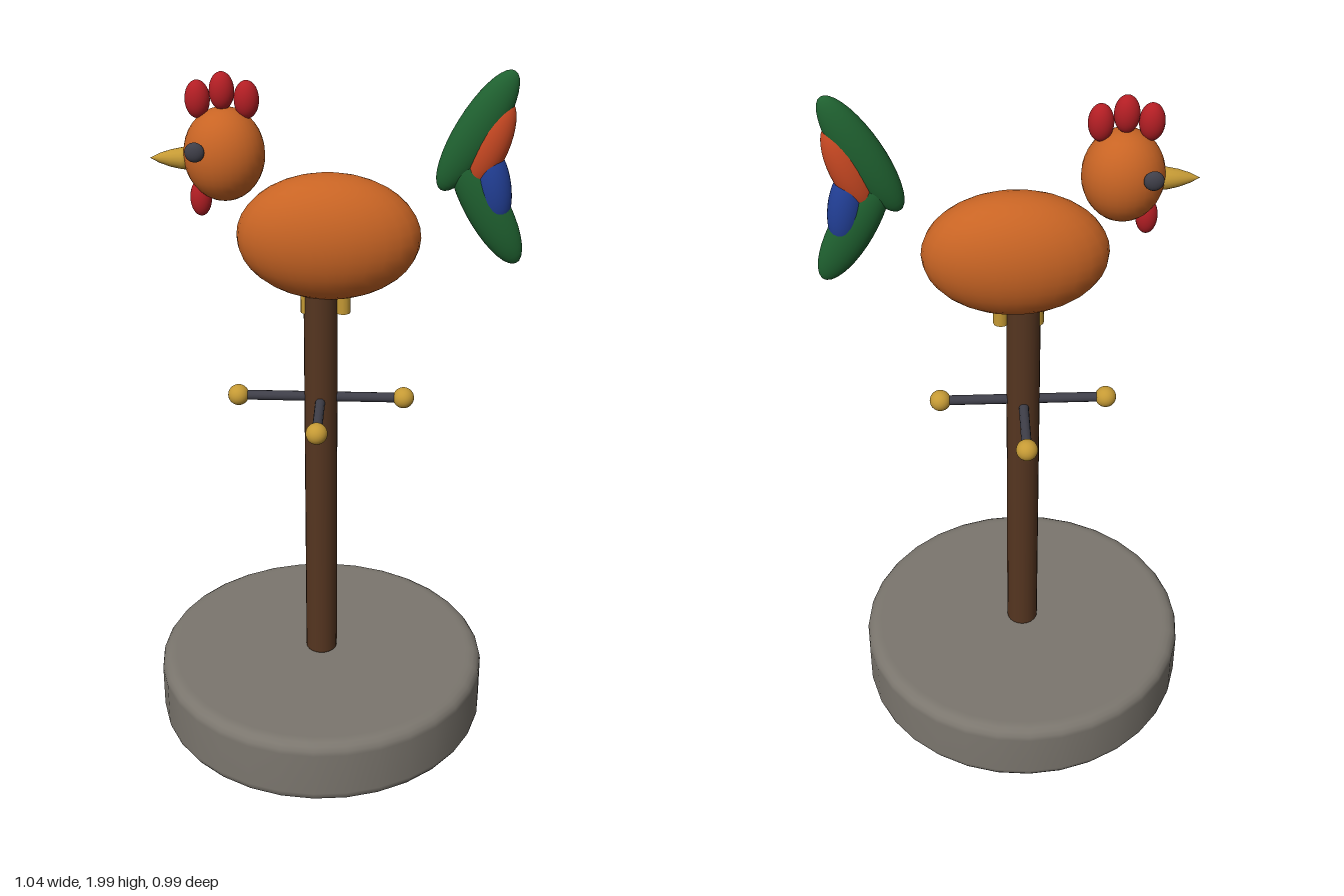
import * as THREE from 'three';

const mat = (name, color) => {
  const m = new THREE.MeshStandardMaterial({ color });
  m.name = name;
  return m;
};

export function createModel() {
  const root = new THREE.Group();
  root.name = 'roosterWeathervane';
  const stone = mat('stone', 0x7b766e);
  const wood = mat('wood', 0x553520);
  const iron = mat('iron', 0x3f3f49);
  const gold = mat('gold', 0xc59a35);
  const orange = mat('orange', 0xc86424);
  const red = mat('red', 0xb31e24);
  const green = mat('green', 0x1f6130);
  const rust = mat('rust', 0xc84822);
  const blue = mat('blue', 0x223f96);
  const axisX = -0.025; // centre line of the stand

  function add(name, geometry, material, x, y, z, parent = root) {
    const mesh = new THREE.Mesh(geometry, material);
    mesh.name = name;
    mesh.position.set(x, y, z);
    parent.add(mesh);
    return mesh;
  }
  function ellipsoid(name, material, [x, y, z], [rx, ry, rz], tilt = 0, parent = root) {
    const g = new THREE.SphereGeometry(1, 28, 18).scale(rx, ry, rz).rotateZ(tilt);
    return add(name, g, material, x, y, z, parent);
  }
  // Upright cylinder with rounded rims
  function roundedDrum(r, h, bevel, sides) {
    const pts = [new THREE.Vector2(0, 0), new THREE.Vector2(r - bevel * 1.3, 0)];
    for (const end of [0, 1]) {
      for (let i = 0; i <= 4; i++) {
        const a = (i / 4 + end - 1) * Math.PI / 2;
        pts.push(new THREE.Vector2(r - bevel + bevel * Math.cos(a),
          (end ? h - bevel : bevel) + bevel * Math.sin(a)));
      }
    }
    pts.push(new THREE.Vector2(r - bevel * 1.3, h), new THREE.Vector2(0, h));
    return new THREE.LatheGeometry(pts, sides);
  }

  // Stand
  add('base', roundedDrum(0.493, 0.205, 0.035, 32), stone, axisX, 0.005, 0);
  add('post', roundedDrum(0.047, 1.19, 0.012, 20), wood, axisX, 0.205, 0);

  // Four direction arms with round ends
  const arms = new THREE.Group();
  arms.name = 'directionArms';
  arms.position.set(axisX, 1.067, 0);
  root.add(arms);
  for (let i = 0; i < 4; i++) {
    const arm = new THREE.Group();
    arm.name = 'directionArm';
    arm.rotation.y = i * Math.PI / 2;
    arms.add(arm);
    add('rod', new THREE.CylinderGeometry(0.014, 0.014, 0.235, 12).rotateZ(Math.PI / 2), iron, 0.1175, 0, 0, arm);
    ellipsoid('knob', gold, [0.235, 0, 0], [0.03, 0.03, 0.03], 0, arm);
  }

  // Legs tucked against the post
  for (const x of [-0.06, 0.037]) {
    add('leg', new THREE.CylinderGeometry(0.021, 0.021, 0.12, 12), gold, x, 1.386, 0);
  }

  // Body and head
  ellipsoid('body', orange, [-0.003, 1.545, 0], [0.25, 0.175, 0.13]);
  ellipsoid('head', orange, [-0.278, 1.77, 0], [0.108, 0.125, 0.1]);
  const beakProfile = [[0, 0], [0.03, 0], [0.029, 0.03], [0.023, 0.06], [0.013, 0.09], [0, 0.116]]
    .map(([r, y]) => new THREE.Vector2(r, y));
  add('beak', new THREE.LatheGeometry(beakProfile, 16).rotateZ(Math.PI / 2), gold, -0.36, 1.757, 0);
  for (const side of [-1, 1]) {
    ellipsoid('eye', iron, [-0.344, 1.8, side * 0.096], [0.026, 0.026, 0.015]);
  }
  for (const i of [-1, 0, 1]) {
    ellipsoid('comb', red, [-0.28 + i * 0.064, 1.937 - Math.abs(i) * 0.022, 0], [0.033, 0.05, 0.03]);
  }
  ellipsoid('wattle', red, [-0.344, 1.65, 0], [0.029, 0.05, 0.026]);

  // Fanned tail feathers
  ellipsoid('upperTailFeather', green, [0.384, 1.838, 0], [0.058, 0.182, 0.039], -0.515);
  ellipsoid('upperMiddleTailFeather', rust, [0.418, 1.804, 0], [0.052, 0.127, 0.042], -0.35);
  ellipsoid('lowerMiddleTailFeather', blue, [0.432, 1.69, 0], [0.048, 0.115, 0.042], 0.17);
  ellipsoid('lowerTailFeather', green, [0.416, 1.637, 0], [0.058, 0.182, 0.037], 0.515);

  return root;
}
